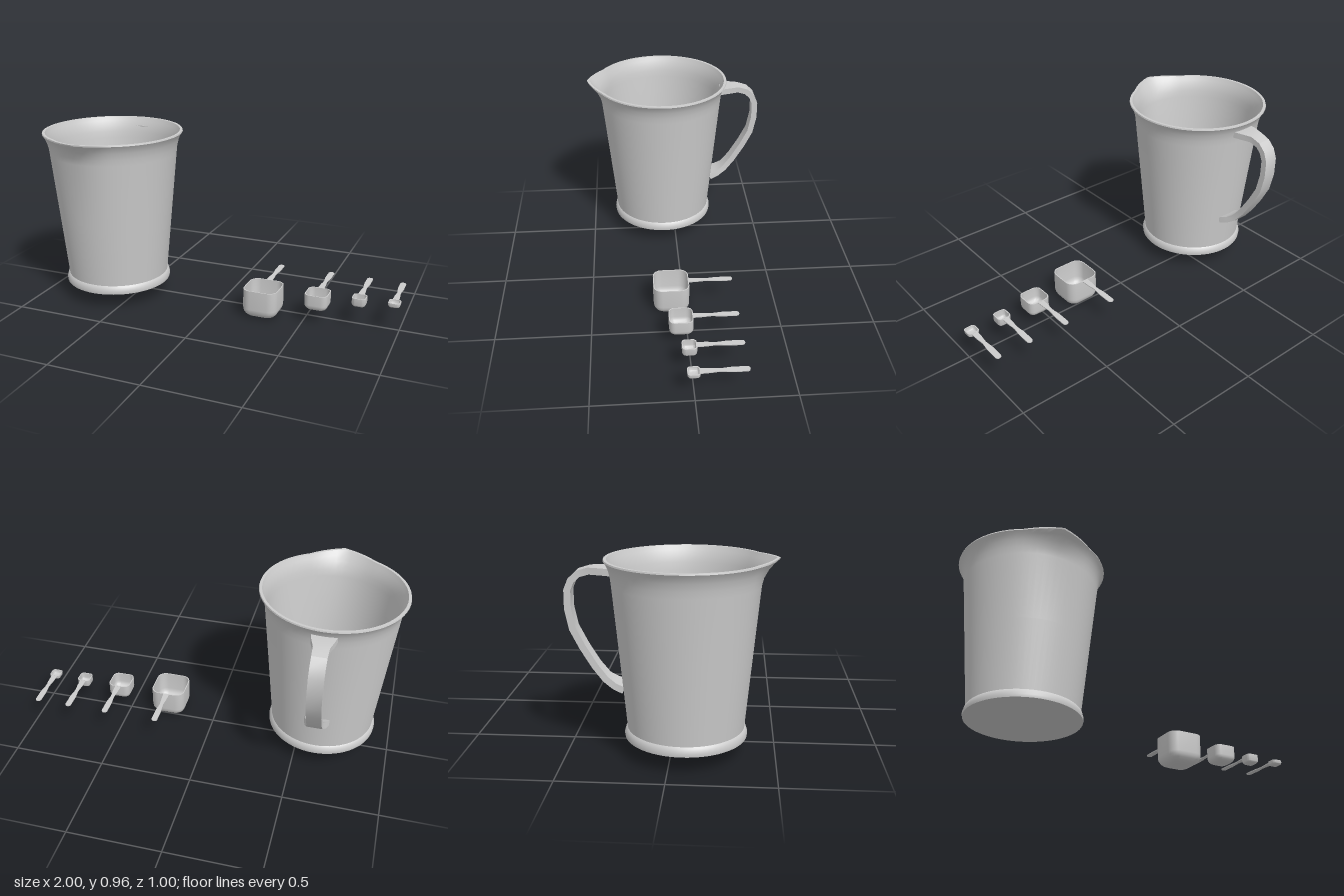
import * as THREE from 'three';
import { toCreasedNormals } from 'three/addons/utils/BufferGeometryUtils.js';

const material = new THREE.MeshStandardMaterial({ color: 0xcccccc });

// Skin a list of closed rings (arrays of [x, y, z]) in order
function loft(rings, crease) {
  const n = rings[0].length;
  const index = [];
  for (let j = 0; j < rings.length - 1; j++) {
    for (let i = 0; i < n; i++) {
      const k = (i + 1) % n;
      const a = j * n + i, b = j * n + k, c = b + n, d = a + n;
      index.push(a, b, c, a, c, d);
    }
  }
  const geometry = new THREE.BufferGeometry();
  geometry.setAttribute('position', new THREE.Float32BufferAttribute(rings.flat(2), 3));
  geometry.setIndex(index);
  return toCreasedNormals(geometry, crease);
}

function addMesh(parent, name, geometry) {
  const mesh = new THREE.Mesh(geometry, material);
  mesh.name = name;
  parent.add(mesh);
  return mesh;
}

// Jug body: round profile (radius, height) with a spout pulled out of the front rim
function jugBody() {
  const profile = [
    [0, 0.09], [0.293, 0.09], [0.295, 0.105], [0.288, 0.128], [0.281, 0.135],
    [0.315, 0.49], [0.348, 0.83], [0.352, 0.865], [0.361, 0.9], [0.372, 0.925], [0.383, 0.941],
    [0.381, 0.948], [0.367, 0.948], [0.357, 0.925], [0.346, 0.9], [0.338, 0.865], [0.333, 0.83],
    [0.300, 0.49], [0.265, 0.135], [0, 0.135],
  ];
  const segments = 64;
  const rings = profile.map(([r, y]) => {
    const lift = Math.max(0, (y - 0.83) / 0.115) ** 1.6;
    const ring = [];
    for (let i = 0; i < segments; i++) {
      const a = (i / segments) * Math.PI * 2;
      const off = Math.min(a, Math.PI * 2 - a);
      const pull = Math.max(0, 1 - off / 0.5) ** 1.15 * lift;
      const radius = r + 0.046 * pull;
      ring.push([Math.sin(a) * radius, y + 0.007 * pull, Math.cos(a) * radius]);
    }
    return ring;
  });
  return loft(rings, 0.6);
}

// Jug handle: flat strap swept along a path (z, y, half width), flared at both ends
function jugHandle() {
  const path = [
    [-0.345, 0.885, 0.066], [-0.39, 0.887, 0.058], [-0.45, 0.887, 0.04],
    [-0.5, 0.872, 0.038], [-0.533, 0.841, 0.038], [-0.552, 0.796, 0.038],
    [-0.552, 0.707, 0.038], [-0.532, 0.61, 0.038], [-0.486, 0.52, 0.038],
    [-0.428, 0.426, 0.038], [-0.38, 0.366, 0.042], [-0.337, 0.337, 0.055], [-0.292, 0.32, 0.066],
  ];
  const half = 0.0165;
  const rings = path.map(([z, y, w], i) => {
    const before = path[Math.max(0, i - 1)];
    const after = path[Math.min(path.length - 1, i + 1)];
    const t = new THREE.Vector2(after[0] - before[0], after[1] - before[1]).normalize();
    const ny = -t.x * half, nz = t.y * half;
    return [[-w, y + ny, z + nz], [w, y + ny, z + nz], [w, y - ny, z - nz], [-w, y - ny, z - nz]];
  });
  // Close the ends
  const cap = ([z, y]) => Array.from({ length: 4 }, () => [0, y, z]);
  rings.unshift(cap(path[0]));
  rings.push(cap(path[path.length - 1]));
  return loft(rings, 0.45);
}

// Horizontal rounded square
function squareRing(half, y) {
  const radius = half * 0.5;
  const ring = [];
  for (let corner = 0; corner < 4; corner++) {
    const mid = Math.PI / 4 + corner * Math.PI / 2;
    const cx = Math.sign(Math.sin(mid)) * (half - radius);
    const cz = Math.sign(Math.cos(mid)) * (half - radius);
    for (let i = 0; i <= 5; i++) {
      const a = corner * Math.PI / 2 + (i / 5) * Math.PI / 2;
      ring.push([cx + Math.sin(a) * radius, y, cz + Math.cos(a) * radius]);
    }
  }
  return ring;
}

// Scoop bowl: rounded-square cup with rounded bottom and a thin wall
function scoopBowl(width, height) {
  const wall = 0.005;
  const side = (half, bottom, round) => {
    const rings = [squareRing(0, bottom)];
    for (let i = 0; i <= 5; i++) {
      const a = (i / 5) * Math.PI / 2;
      rings.push(squareRing(half - round * (1 - Math.sin(a)), bottom + round * (1 - Math.cos(a))));
    }
    rings.push(squareRing(half, height));
    return rings;
  };
  const round = Math.min(width * 0.27, height * 0.6);
  const outer = side(width / 2, 0, round);
  const inner = side(width / 2 - wall, wall, round - wall * 0.6).reverse();
  return loft([...outer, ...inner], 0.7);
}

// Scoop handle: thin tapered strip with a rounded tip, running backwards
function scoopHandle(start, end) {
  const shape = new THREE.Shape();
  shape.moveTo(0.017, start);
  shape.lineTo(0.015, 0.06);
  shape.bezierCurveTo(0.014, 0.09, 0.010, 0.1, 0.010, 0.12);
  shape.bezierCurveTo(0.011, 0.145, 0.016, 0.16, 0.016, 0.185);
  shape.lineTo(0.016, end - 0.016);
  shape.absarc(0, end - 0.016, 0.016, 0, Math.PI, false);
  shape.lineTo(-0.016, 0.185);
  shape.bezierCurveTo(-0.016, 0.16, -0.011, 0.145, -0.010, 0.12);
  shape.bezierCurveTo(-0.010, 0.1, -0.014, 0.09, -0.015, 0.06);
  shape.lineTo(-0.017, start);
  const geometry = new THREE.ExtrudeGeometry(shape, { depth: 0.005, bevelEnabled: false, curveSegments: 8 });
  return geometry.rotateX(-Math.PI / 2);
}

export function createModel() {
  const model = new THREE.Group();
  model.name = 'measuringSet';

  const jug = new THREE.Group();
  jug.name = 'jug';
  jug.position.set(-0.617, 0, 0.07);
  addMesh(jug, 'jugBody', jugBody());
  addMesh(jug, 'jugHandle', jugHandle());
  model.add(jug);

  // Four scoops in falling size: centre x, width, depth
  const top = 0.16, back = -0.026;
  const sizes = [[0.272, 0.192, 0.16], [0.566, 0.125, 0.09], [0.785, 0.074, 0.05], [0.967, 0.062, 0.027]];
  sizes.forEach(([x, width, height], i) => {
    const scoop = new THREE.Group();
    scoop.name = 'scoop' + (i + 1);
    scoop.position.x = x;
    addMesh(scoop, 'scoopBowl', scoopBowl(width, height)).position.set(0, top - height, back + width / 2);
    addMesh(scoop, 'scoopHandle', scoopHandle(0.023, 0.262)).position.y = top - 0.0055;
    model.add(scoop);
  });
  return model;
}
